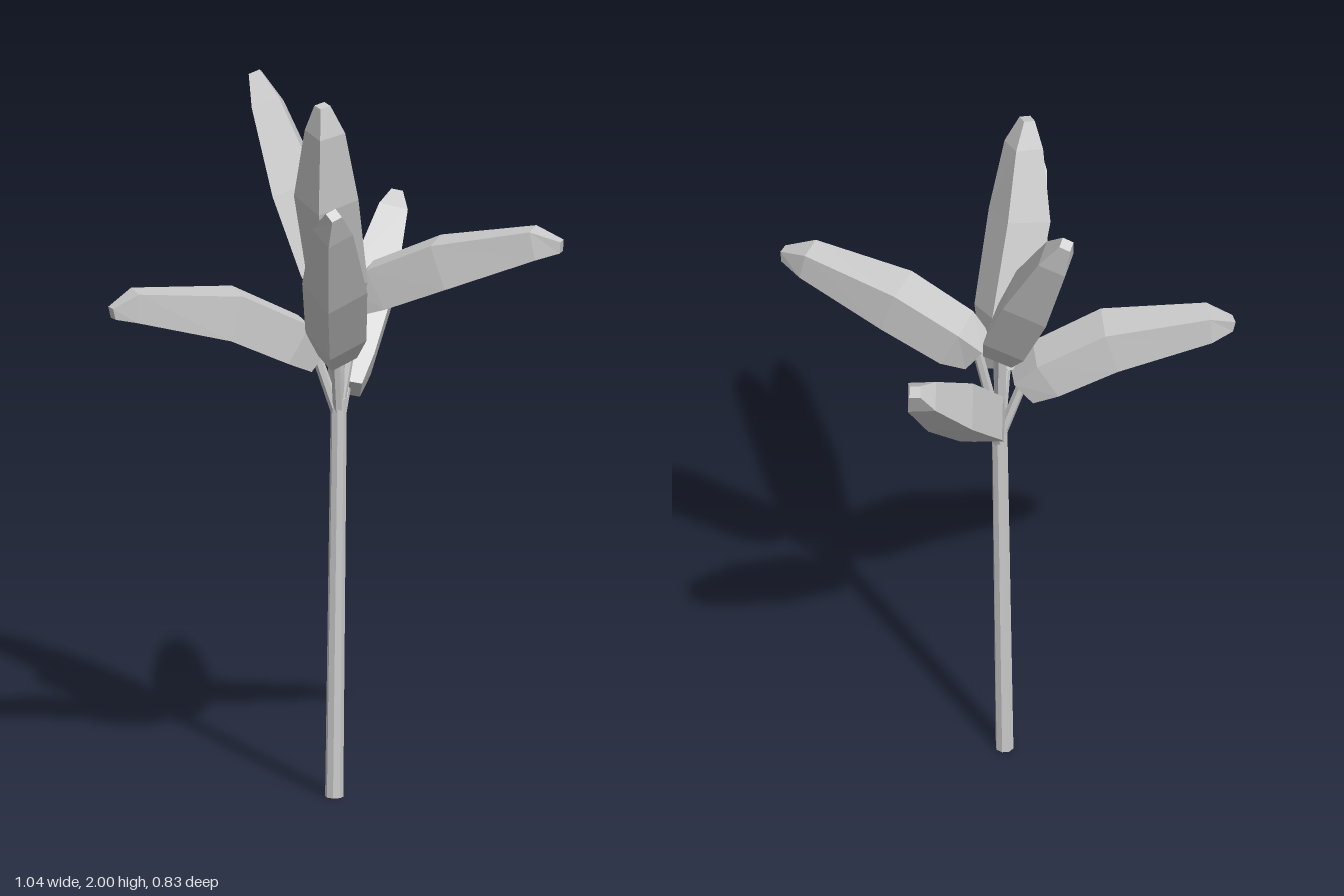
import * as THREE from 'three';

const material = new THREE.MeshStandardMaterial({ color: 0xcccccc, flatShading: true });
const V = (p) => new THREE.Vector3(...p);

// Half widths of the square section, from the stalk end to the tip
const HALF = [0.042, 0.06, 0.064, 0.04, 0.016];

// Square cross-sections swept along five centres, twisted by roll
function podGeometry(centres, roll) {
  const pts = centres.map(V);
  const position = [];
  const index = [];
  const axis = pts[4].clone().sub(pts[0]).normalize();
  const side = new THREE.Vector3().crossVectors(new THREE.Vector3(0, 1, 0), axis).normalize();
  side.applyAxisAngle(axis, roll);
  pts.forEach((p, i) => {
    const tangent = pts[Math.min(i + 1, 4)].clone().sub(pts[Math.max(i - 1, 0)]).normalize();
    const u = side.clone().addScaledVector(tangent, -side.dot(tangent)).normalize();
    const v = new THREE.Vector3().crossVectors(tangent, u);
    for (const [a, b] of [[-1, -1], [1, -1], [1, 1], [-1, 1]]) {
      const q = p.clone().addScaledVector(u, a * HALF[i]).addScaledVector(v, b * HALF[i]);
      position.push(q.x, q.y, q.z);
    }
  });
  for (let i = 0; i < 4; i++) {
    for (let k = 0; k < 4; k++) {
      const a = i * 4 + k, b = i * 4 + ((k + 1) % 4);
      index.push(a, b, b + 4, a, b + 4, a + 4);
    }
  }
  index.push(0, 2, 1, 0, 3, 2, 16, 17, 18, 16, 18, 19);
  const geometry = new THREE.BufferGeometry();
  geometry.setAttribute('position', new THREE.Float32BufferAttribute(position, 3));
  geometry.setIndex(index);
  geometry.computeVertexNormals();
  return geometry;
}

// Tapered rod between two points
function rod(name, from, to, r0, r1, sides) {
  const a = V(from), b = V(to);
  const dir = b.clone().sub(a);
  const mesh = new THREE.Mesh(new THREE.CylinderGeometry(r1, r0, dir.length(), sides), material);
  mesh.position.copy(a).add(b).multiplyScalar(0.5);
  mesh.quaternion.setFromUnitVectors(new THREE.Vector3(0, 1, 0), dir.normalize());
  mesh.name = name;
  return mesh;
}

// Centre line of each pod, its roll, and the height where its twig leaves the stalk
const PODS = [
  { name: 'rightPod', roll: 0, fork: 1.06, path: [[0.02, 1.24, -0.06], [-0.04, 1.29, -0.085], [-0.2, 1.375, -0.155], [-0.45, 1.415, -0.265], [-0.515, 1.4, -0.28]] },
  { name: 'frontLeftPod', roll: 0, fork: 1.08, path: [[0.145, 1.385, -0.035], [0.19, 1.425, 0.0], [0.3, 1.5, 0.14], [0.465, 1.57, 0.34], [0.508, 1.565, 0.4]] },
  { name: 'backLeftPod', roll: 0.3, fork: 1.04, path: [[0.12, 1.135, -0.06], [0.165, 1.2, -0.095], [0.32, 1.365, -0.2], [0.465, 1.52, -0.3], [0.502, 1.568, -0.328]] },
  { name: 'backPod', roll: Math.PI / 4, fork: 1.1, path: [[0.08, 1.38, -0.055], [0.08, 1.46, -0.1], [0.08, 1.66, -0.22], [0.075, 1.88, -0.35], [0.07, 1.96, -0.4]] },
  { name: 'tallPod', roll: Math.PI / 4, fork: 1.1, path: [[0.07, 1.38, -0.02], [0.045, 1.46, 0.0], [-0.04, 1.72, 0.06], [-0.075, 1.92, 0.1], [-0.09, 1.997, 0.108]] },
  { name: 'frontRightPod', roll: 0.6, fork: 1.06, path: [[0.035, 1.255, 0.005], [0.005, 1.32, 0.045], [-0.08, 1.49, 0.15], [-0.18, 1.69, 0.27], [-0.212, 1.75, 0.317]] },
];

export function createModel() {
  const group = new THREE.Group();
  group.name = 'podCluster';

  // Main stalk
  group.add(rod('stalk', [0.057, 0, -0.03], [0.073, 1.12, -0.03], 0.025, 0.022, 8));

  // Pods, each on a thin twig
  for (const { name, roll, fork, path } of PODS) {
    const pod = new THREE.Mesh(podGeometry(path, roll), material);
    pod.name = name;
    group.add(pod, rod(name + 'Twig', [0.073, fork, -0.03], path[0], 0.015, 0.014, 6));
  }
  return group;
}
